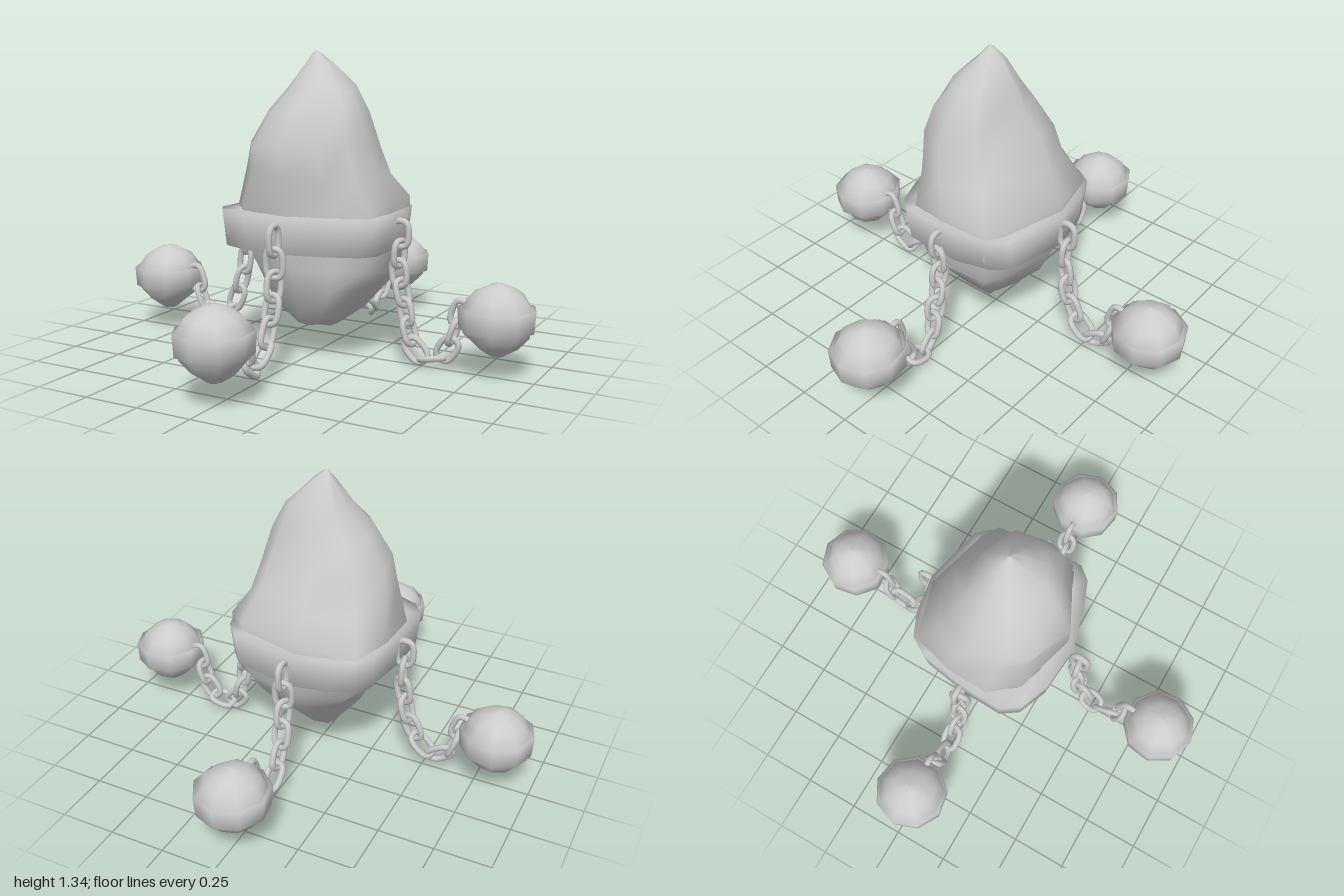
import * as THREE from 'three';

const grey = new THREE.MeshStandardMaterial({ color: 0xcccccc });

// Small repeatable noise in -1..1
const noise = (n) => {
  const s = Math.sin(n * 127.1 + 11.7) * 43758.5453;
  return 2 * (s - Math.floor(s)) - 1;
};

// Skin a stack of closed rings (each a list of [x, y, z]) from bottom to top, smooth all over
function loft(rings) {
  const n = rings[0].length, index = [];
  for (let i = 0; i < rings.length - 1; i++) {
    for (let j = 0; j < n; j++) {
      const k = (j + 1) % n;
      const a = i * n + j, b = i * n + k, c = a + n, d = b + n;
      index.push(a, c, b, b, c, d);
    }
  }
  const geo = new THREE.BufferGeometry();
  geo.setAttribute('position', new THREE.Float32BufferAttribute(rings.flat(2), 3));
  geo.setIndex(index);
  geo.computeVertexNormals();
  return geo;
}

function part(name, geometry, parent) {
  const mesh = new THREE.Mesh(geometry, grey);
  mesh.name = name;
  parent.add(mesh);
  return mesh;
}

// Ring-shaped strap around an outline; the inner edges sink into the stone
function strap(outline, y0, y1, inner) {
  const section = [[inner, y0], [0.96, y0], [1, y1], [inner, y1]];
  return loft(section.map(([s, y]) => outline.map(([x, z]) => [x * s, y, z * s])));
}

// Central stone: outline in plan, with the extents of each level
function stoneGeometry() {
  const plan = [[1, -0.62], [1, 0.1], [0.97, 0.62], [0.56, 0.82], [-0.04, 1], [-0.7, 0.8],
    [-1, 0.42], [-0.97, -0.2], [-0.82, -0.8], [-0.1, -1], [0.76, -0.76]];
  // y, x min, x max, z min, z max
  const levels = [
    [0.13, -0.001, 0.001, -0.001, 0.001],
    [0.145, -0.08, 0.1, -0.1, 0.12],
    [0.21, -0.15, 0.17, -0.17, 0.195],
    [0.33, -0.225, 0.28, -0.25, 0.26],
    [0.42, -0.28, 0.32, -0.305, 0.275],
    [0.54, -0.335, 0.345, -0.335, 0.29],
    [0.68, -0.35, 0.345, -0.34, 0.3],
    [0.82, -0.33, 0.315, -0.285, 0.325],
    [0.95, -0.295, 0.28, -0.225, 0.335],
    [1.09, -0.21, 0.235, -0.155, 0.26],
    [1.19, -0.13, 0.18, -0.11, 0.185],
    [1.29, -0.055, 0.075, -0.04, 0.085],
    [1.335, -0.015, 0.02, 0.015, 0.045],
    [1.345, -0.001, 0.001, 0.029, 0.031],
  ];
  return loft(levels.map(([y, x0, x1, z0, z1], i) => plan.map(([px, pz], j) => {
    // the corners are worn back above the band
    const worn = y > 0.75 && Math.abs(px * pz) > 0.4 ? 0.88 : 1;
    const k = worn * (1 + 0.025 * noise(i * 13 + j));
    const lift = 0.05 * (x1 - x0) * noise(i * 7 + j * 3 + 50);
    return [(x0 + x1) / 2 + px * k * (x1 - x0) / 2, y + lift, (z0 + z1) / 2 + pz * k * (z1 - z0) / 2];
  })));
}

// Small hanging stone with a collar
function weight(seed, parent) {
  const group = new THREE.Group();
  group.name = 'weight';
  const sides = 9;
  const circle = (r) => Array.from({ length: sides }, (_, j) => {
    const a = j / sides * Math.PI * 2;
    return [r * Math.cos(a), r * Math.sin(a)];
  });
  const profile = [[0.09, 0.001], [0.1, 0.035], [0.14, 0.09], [0.19, 0.138], [0.25, 0.152],
    [0.305, 0.15], [0.35, 0.117], [0.378, 0.08], [0.398, 0.035], [0.403, 0.001]];
  const rings = profile.map(([y, r], i) => circle(r).map(([x, z], j) => {
    const k = 1 + 0.035 * noise(seed * 91 + i * 9 + j);
    return [x * k, y + 0.06 * r * noise(seed * 37 + i * 5 + j * 2), z * k];
  }));
  part('weightStone', loft(rings), group);
  part('weightCollar', strap(circle(0.165), 0.21, 0.3, 0.78), group);
  group.position.x = 0.835;
  parent.add(group);
}

// One oval chain link lying in the xy plane, long along x
function linkGeometry(length) {
  const r = 0.014, a = length / 2 - r, b = 0.038;
  const pts = [];
  for (let i = 0; i < 12; i++) {
    const t = i / 12 * Math.PI * 2, c = Math.cos(t), s = Math.sin(t);
    pts.push(new THREE.Vector3(a * Math.sign(c) * Math.abs(c) ** 0.7, b * Math.sign(s) * Math.abs(s) ** 0.7, 0));
  }
  return new THREE.TubeGeometry(new THREE.CatmullRomCurve3(pts, true), 24, r, 7, true);
}

// Hanging chain along a sagging path, every second link turned a quarter, give or take
function chain(points, steps, parent) {
  const curve = new THREE.CatmullRomCurve3(points.map(([x, y]) => new THREE.Vector3(x, y, 0)));
  const geo = linkGeometry(curve.getLength() / steps + 0.055);
  for (let i = 0; i <= steps; i++) {
    const link = part('chainLink', geo, parent);
    const t = curve.getTangentAt(i / steps);
    const sway = i % steps ? 0.45 * noise(i + steps) : 0;
    link.position.copy(curve.getPointAt(i / steps));
    link.rotation.set((i % 2) * Math.PI / 2 + sway, 0, Math.atan2(t.y, t.x), 'ZYX');
  }
}

export function createModel() {
  const model = new THREE.Group();
  model.name = 'chainedStone';

  part('stone', stoneGeometry(), model);

  // Broad band around the stone
  const bandPlan = [[0.385, -0.08], [0.38, 0.19], [0.33, 0.25], [0.2, 0.3], [0.01, 0.35], [-0.19, 0.335],
    [-0.33, 0.28], [-0.385, 0.2], [-0.375, 0], [-0.34, -0.21], [-0.29, -0.29], [-0.18, -0.34],
    [0, -0.37], [0.28, -0.31], [0.34, -0.24]];
  part('band', strap(bandPlan, 0.5, 0.655, 0.8), model);

  // Four arms, each a chain and a weight
  const slack = [[0.395, 0.57], [0.39, 0.42], [0.41, 0.3], [0.45, 0.18], [0.5, 0.105], [0.565, 0.08], [0.62, 0.125], [0.65, 0.19], [0.672, 0.255]];
  const low = [[0.395, 0.57], [0.39, 0.4], [0.415, 0.28], [0.44, 0.15], [0.475, 0.065], [0.55, 0.04], [0.615, 0.09], [0.648, 0.18], [0.672, 0.255]];
  const arms = [['leftArm', 0], ['backArm', Math.PI / 2], ['rightArm', Math.PI], ['frontArm', -Math.PI / 2]];
  arms.forEach(([name, turn], i) => {
    const arm = new THREE.Group();
    arm.name = name;
    if (i === 0) chain(low, 10, arm);
    else chain(slack, 8, arm);
    weight(i + 1, arm);
    arm.rotation.y = turn;
    model.add(arm);
  });

  return model;
}
